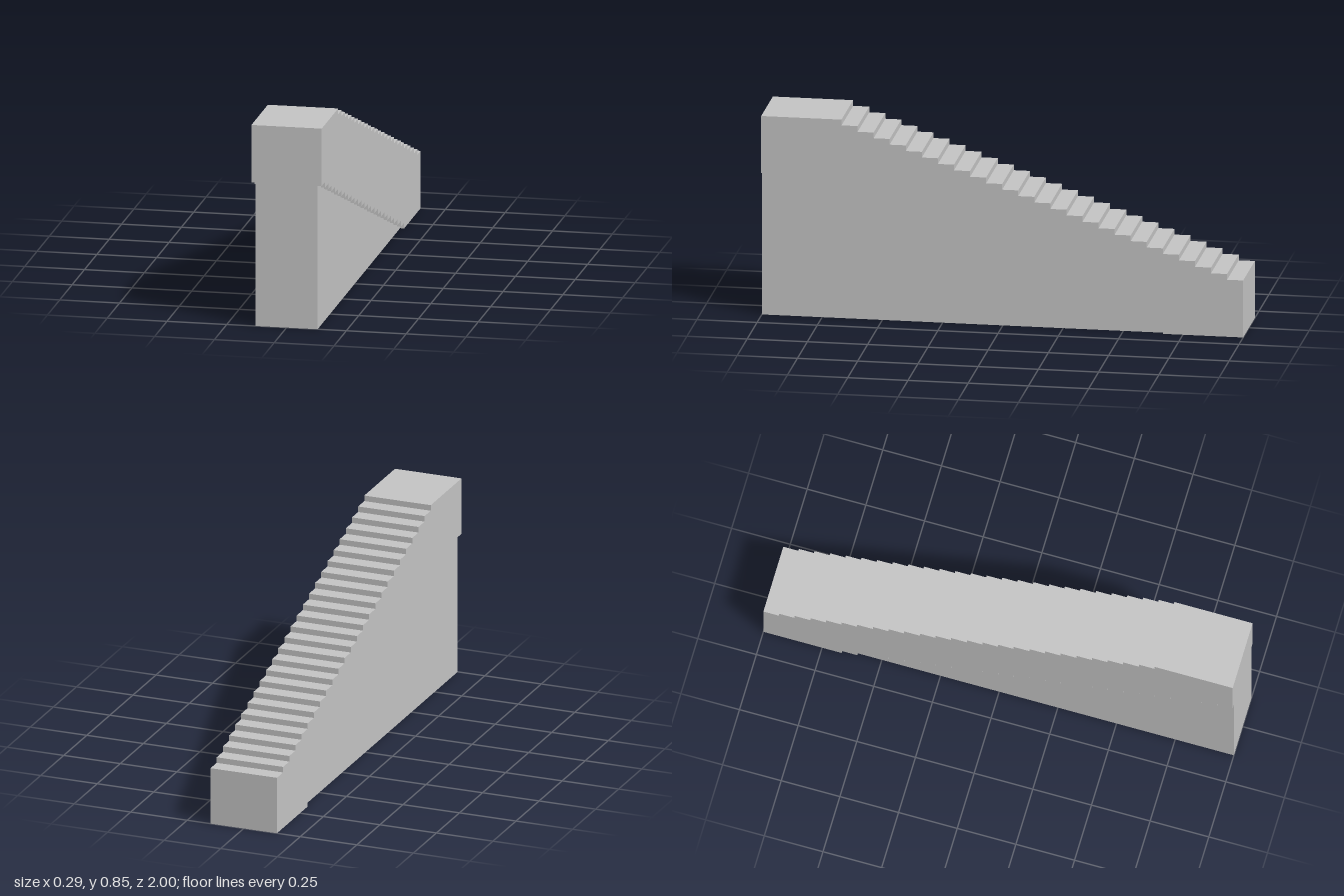
import * as THREE from 'three';

const RUN = 2 / 30;      // depth of one step
const RISE = 0.85 / 35;  // height of one step
const STEPS = 25;        // steps below the landing

// Step corners climbing towards +z, starting at the foot of the first riser
function stepCorners(startZ, startY, count) {
  const points = [new THREE.Vector2(startZ, startY)];
  for (let i = 0; i < count; i++) {
    const y = startY + (i + 1) * RISE;
    points.push(new THREE.Vector2(startZ + i * RUN, y));
    points.push(new THREE.Vector2(startZ + (i + 1) * RUN, y));
  }
  return points;
}

// Extrude a (z, y) side profile across x, centred
function sideExtrude(points, width, name, material) {
  const geometry = new THREE.ExtrudeGeometry(new THREE.Shape(points), {
    depth: width, bevelEnabled: false,
  });
  geometry.translate(0, 0, -width / 2);
  geometry.rotateY(-Math.PI / 2);
  const mesh = new THREE.Mesh(geometry, material);
  mesh.name = name;
  return mesh;
}

export function createModel() {
  const group = new THREE.Group();
  group.name = 'staircase';
  const stone = new THREE.MeshStandardMaterial({ color: 0xc4c4c4 });
  stone.name = 'light grey stone';

  const footZ = -1 + 5 * RUN;
  const underside = stepCorners(footZ, 0, STEPS);

  // Wide flight: stepped top with landing, stepped underside
  const treads = stepCorners(-1 + RUN, 10 * RISE, STEPS - 1);
  const flight = [
    new THREE.Vector2(-1, 0),
    ...underside,
    new THREE.Vector2(1, 35 * RISE),
    new THREE.Vector2(1 - 5 * RUN, 35 * RISE),
    ...treads.reverse(),
    new THREE.Vector2(-1, 10 * RISE),
  ];
  // First tread sits at ten rises; the others climb one rise each
  group.add(sideExtrude(flight, 0.294, 'stairFlight', stone));

  // Narrower wall filling the space beneath the flight
  const wall = [...underside, new THREE.Vector2(1, 0)];
  group.add(sideExtrude(wall, 0.26, 'supportWall', stone));

  return group;
}
